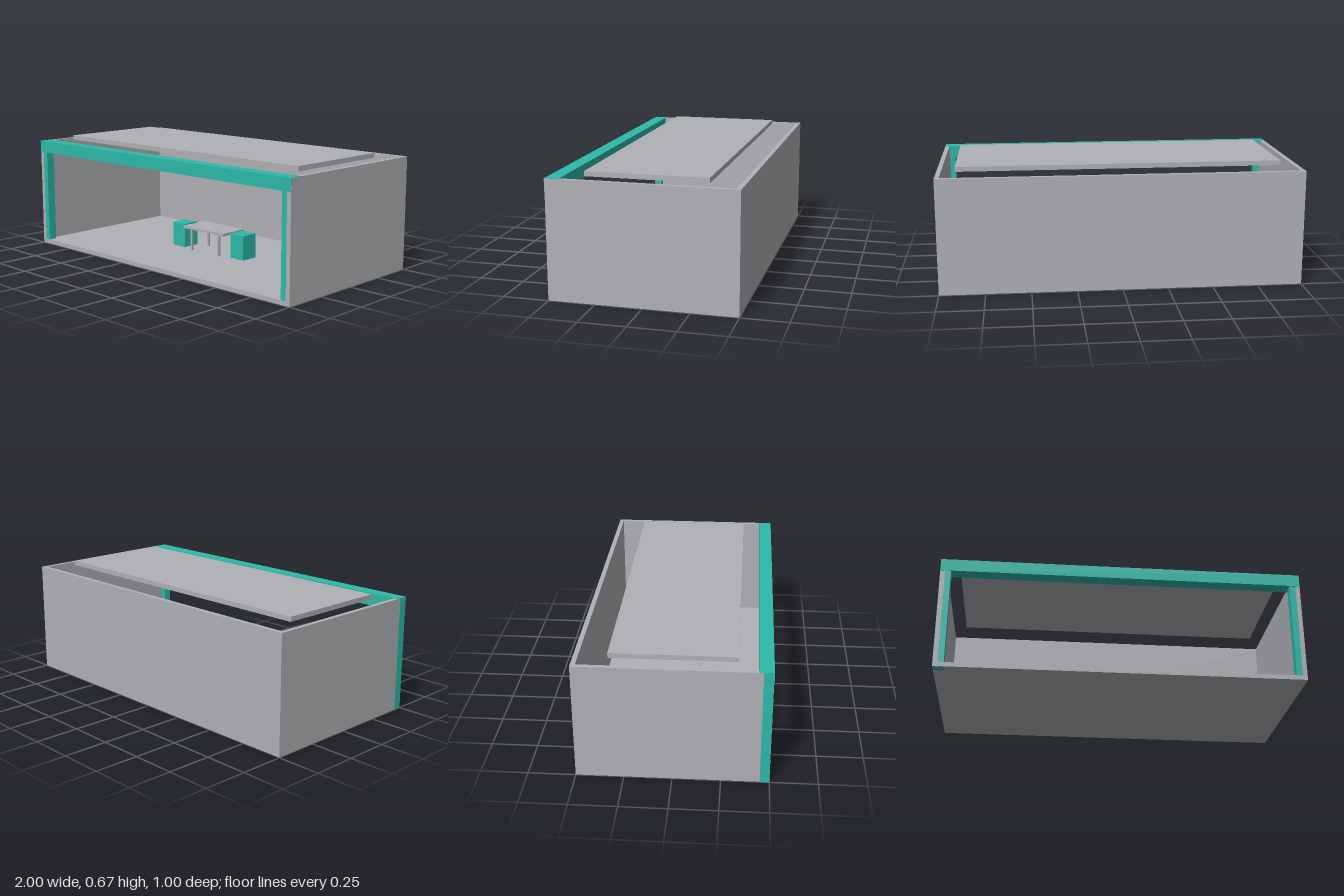
import * as THREE from 'three';

export function createModel() {
  const model = new THREE.Group();
  model.name = 'exhibitionBooth';
  const grey = new THREE.MeshStandardMaterial({ color: 0xb1b2b6 });
  grey.name = 'panel grey';
  const teal = new THREE.MeshStandardMaterial({ color: 0x2dbaa9 });
  teal.name = 'accent teal';

  // Box given by its extents along x, y and z
  function box(name, material, [x0, x1], [y0, y1], [z0, z1], parent = model) {
    const mesh = new THREE.Mesh(new THREE.BoxGeometry(x1 - x0, y1 - y0, z1 - z0), material);
    mesh.position.set((x0 + x1) / 2, (y0 + y1) / 2, (z0 + z1) / 2);
    mesh.name = name;
    parent.add(mesh);
    return mesh;
  }

  const floorTop = 0.025, wallTop = 0.642;

  // Shell: floor, back wall, side walls
  box('floor', grey, [-1, 1], [0, floorTop], [-0.5, 0.5]);
  box('backWall', grey, [-0.975, 0.975], [floorTop, wallTop], [-0.5, -0.475]);
  box('leftWall', grey, [0.975, 1], [floorTop, wallTop], [-0.5, 0.5]);
  box('rightWall', grey, [-1, -0.975], [floorTop, wallTop], [-0.5, 0.5]);

  // Front frame: two posts and the fascia beam
  box('leftPost', teal, [0.942, 0.999], [0.001, wallTop], [0.45, 0.499]);
  box('rightPost', teal, [-1.001, -0.942], [-0.001, wallTop], [0.45, 0.499]);
  box('fasciaBeam', teal, [-0.9995, 0.9995], [0.573, 0.643], [0.427, 0.502]);

  // Raised ceiling panel
  box('ceilingPanel', grey, [-0.9, 0.9], [0.642, 0.669], [-0.325, 0.325]);

  // Table
  const table = new THREE.Group();
  table.name = 'table';
  model.add(table);
  box('tableTop', grey, [-0.164, 0.164], [0.153, 0.168], [-0.09, 0.09], table);
  for (const x of [-0.11, 0.11]) {
    for (const z of [-0.07, 0.07]) {
      box('tableLeg', grey, [x - 0.0065, x + 0.0065], [floorTop, 0.153], [z - 0.0065, z + 0.0065], table);
    }
  }

  // Block stools on either side
  for (const x of [-0.238, 0.238]) {
    box('stool', teal, [x - 0.049, x + 0.049], [floorTop, 0.168], [-0.053, 0.053]);
  }

  return model;
}
